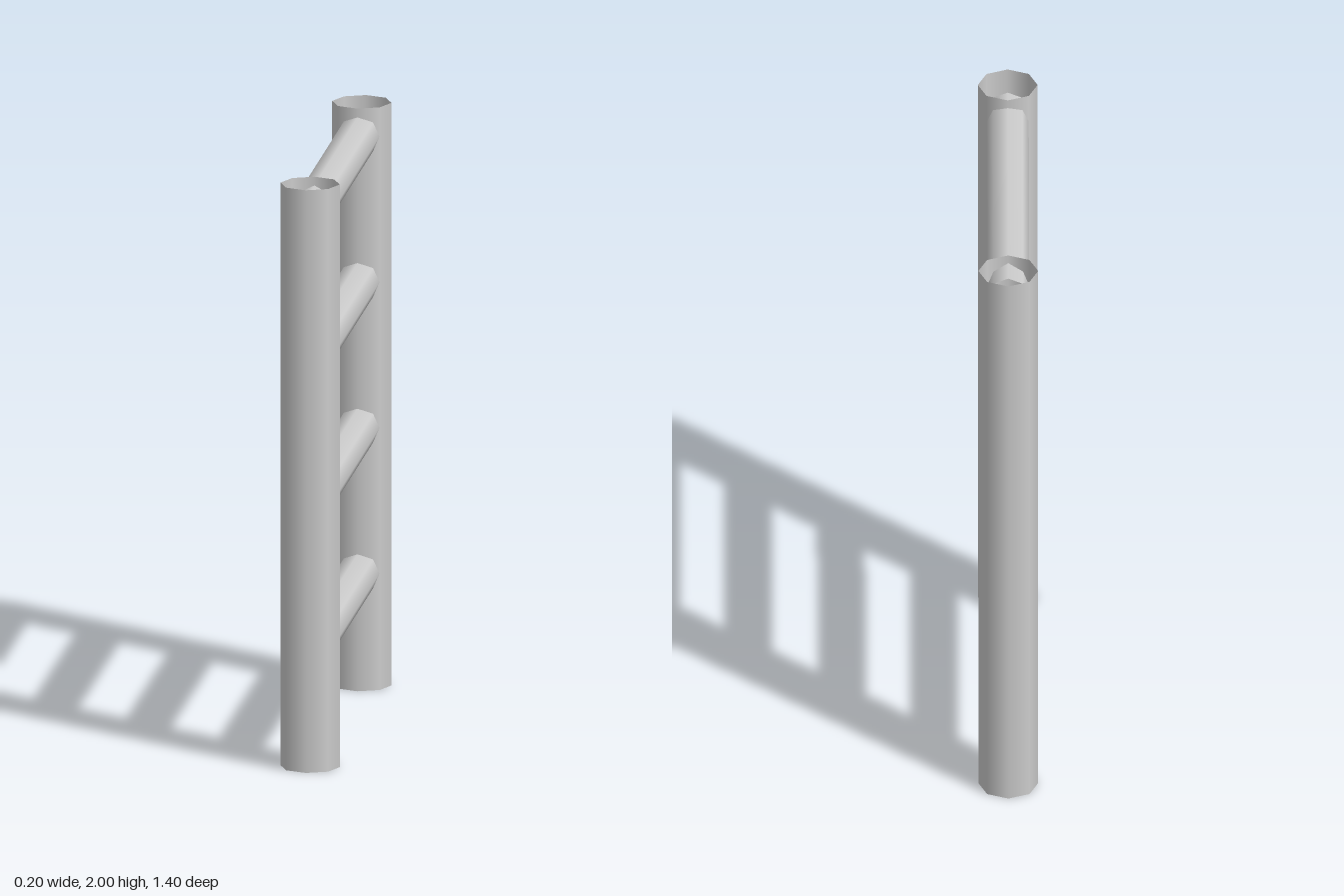
import * as THREE from 'three';

const SIDES = 8;
const material = new THREE.MeshStandardMaterial({ color: 0xcccccc, side: THREE.DoubleSide });

// Open-ended, smooth-shaded tube standing along y
function tube(name, radius, length) {
  const geometry = new THREE.CylinderGeometry(radius, radius, length, SIDES, 1, true);
  const mesh = new THREE.Mesh(geometry, material);
  mesh.name = name;
  return mesh;
}

export function createModel() {
  const ladder = new THREE.Group();
  ladder.name = 'ladder';

  // Upright posts at front and back
  for (const [name, z] of [['frontPost', 0.6], ['backPost', -0.6]]) {
    const post = tube(name, 0.1, 2);
    post.position.set(0, 1, z);
    ladder.add(post);
  }

  // Rungs running between the post centres
  for (let i = 0; i < 4; i++) {
    const rung = tube(`rung${i + 1}`, 0.07, 1.2);
    rung.rotation.x = Math.PI / 2;
    rung.position.y = 0.4 + i * 0.5;
    ladder.add(rung);
  }

  return ladder;
}
